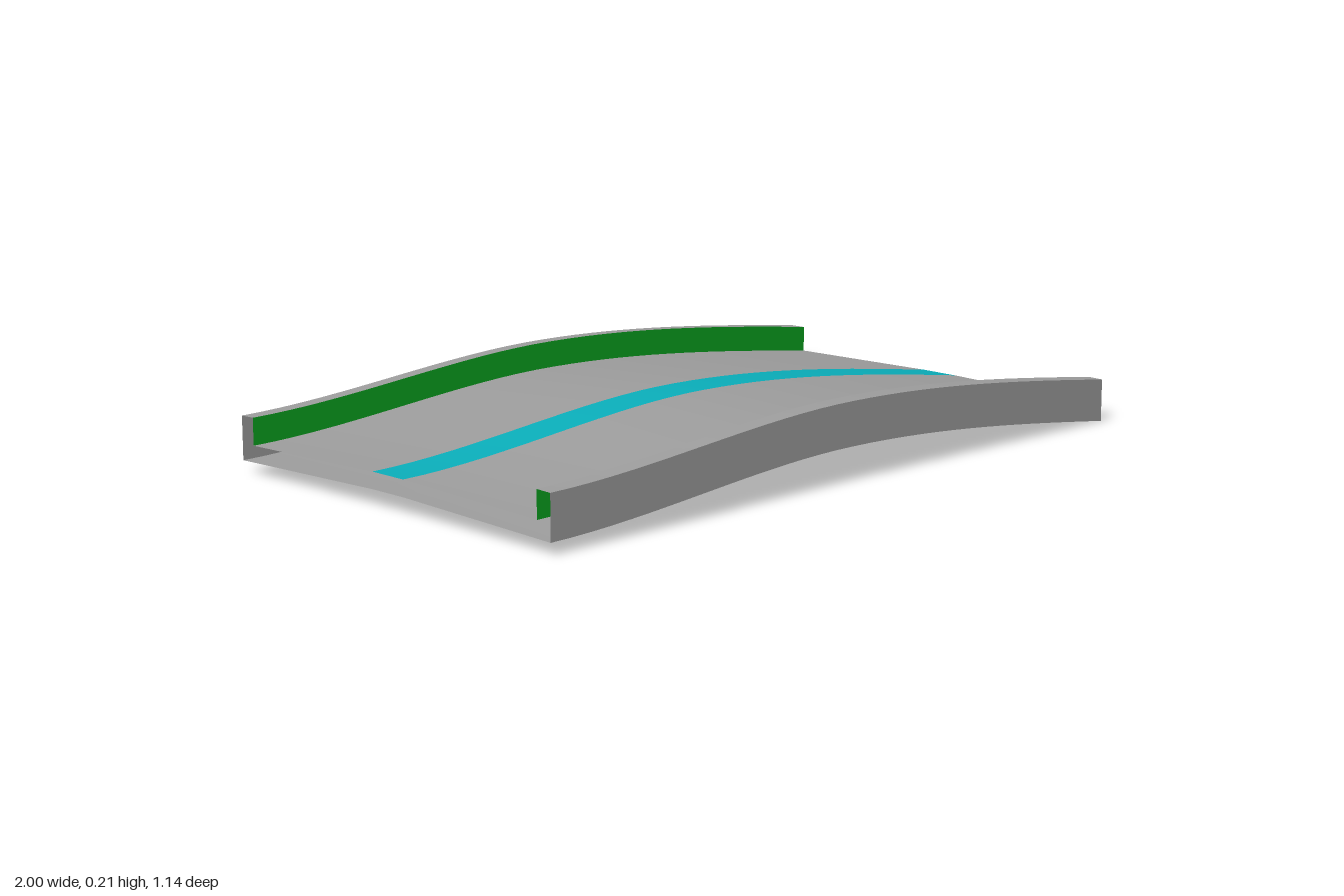
import * as THREE from 'three';

const SEGMENTS = 32;
const PEAK_X = -0.04, PEAK_Y = 0.09;

// Cubic Hermite from a level start at p0 to p1, arriving with slope m1
function ease(s, p0, p1, m1) {
  const s2 = s * s, s3 = s2 * s;
  return p0 + (3 * s2 - 2 * s3) * (p1 - p0) + (s3 - s2) * m1;
}

// Height of the underside edge along the track
function rise(x) {
  return x < PEAK_X
    ? ease((x + 1) / (PEAK_X + 1), 0.031, PEAK_Y, 0)
    : ease((x - PEAK_X) / (1 - PEAK_X), PEAK_Y, 0, -0.14);
}

// A section point [z, y] placed at x; the section is crowned towards its middle
function place(x, [z, y]) {
  const h = rise(x);
  const crown = 0.009 + 0.015 * h / PEAK_Y;
  const k = Math.min(1, (0.57 - Math.abs(z)) / 0.513);
  return [x, h + y + crown * k, z];
}

// Surface swept along x between two section points
function sweep(p, q) {
  const pos = [], index = [];
  for (let i = 0; i <= SEGMENTS; i++) {
    const x = -1 + 2 * i / SEGMENTS;
    pos.push(...place(x, p), ...place(x, q));
    if (i < SEGMENTS) {
      const a = 2 * i;
      index.push(a, a + 2, a + 1, a + 2, a + 3, a + 1);
    }
  }
  const g = new THREE.BufferGeometry();
  g.setAttribute('position', new THREE.Float32BufferAttribute(pos, 3));
  g.setIndex(index);
  g.computeVertexNormals();
  return g;
}

export function createModel() {
  const group = new THREE.Group();
  // Double-sided, because the shell is open at its right end
  const paint = (color) => new THREE.MeshStandardMaterial({ color, side: THREE.DoubleSide });
  const grey = paint(0x9d9d9d), cyan = paint(0x0aaeba), green = paint(0x09a21f);

  const add = (name, geometry, material) => {
    const mesh = new THREE.Mesh(geometry, material);
    mesh.name = name;
    group.add(mesh);
  };

  // Channel section, counter-clockwise seen from the end
  const W = 0.57, I = 0.525, S = 0.057, TOP = 0.114, DECK = 0.043;
  const section = [
    [W, TOP], [I, TOP], [I, DECK], [S, DECK], [-S, DECK], [-I, DECK],
    [-I, TOP], [-W, TOP], [-W, 0], [-S, 0], [S, 0], [W, 0],
  ];
  const faces = [
    ['frontWallTop', grey], ['frontWallInside', green], ['frontDeck', grey],
    ['centreStripe', cyan], ['backDeck', grey], ['backWallInside', green],
    ['backWallTop', grey], ['backWallOutside', grey], ['backUnderside', grey],
    ['middleUnderside', grey], ['frontUnderside', grey], ['frontWallOutside', grey],
  ];
  faces.forEach(([name, material], i) =>
    add(name, sweep(section[i], section[(i + 1) % section.length]), material));

  // Cap on the left end
  const outline = section.map((p) => {
    const [, y, z] = place(1, p);
    return new THREE.Vector2(z, y);
  });
  const cap = new THREE.ShapeGeometry(new THREE.Shape(outline));
  cap.rotateY(Math.PI / 2).translate(1, 0, 0);
  add('leftEnd', cap, grey);
  return group;
}
